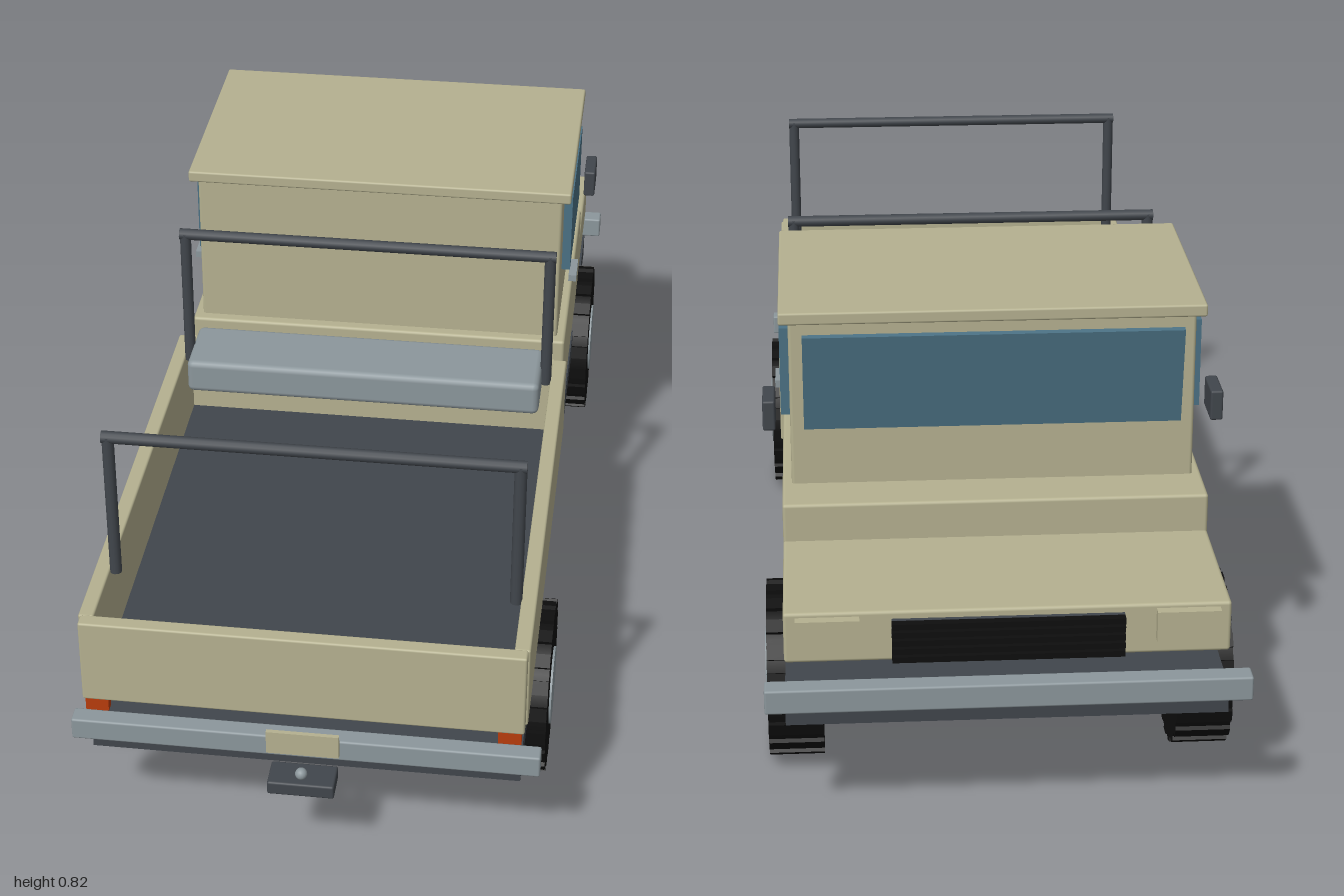
import * as THREE from 'three';
import { RoundedBoxGeometry } from 'three/addons/geometries/RoundedBoxGeometry.js';

const mat = (name, color) => {
  const m = new THREE.MeshStandardMaterial({ color });
  m.name = name;
  return m;
};

export function createModel() {
  const paint = mat('beige paint', 0xb5b190);
  const dark = mat('dark steel', 0x41464c);
  const steel = mat('light steel', 0x8c979c);
  const rubber = mat('black rubber', 0x0e0e0e);
  const glass = mat('blue glass', 0x4b7184);
  const lamp = mat('orange lamp', 0xb83c0c);

  const truck = new THREE.Group();
  truck.name = 'truck';

  const add = (name, geo, material, x = 0, y = 0, z = 0, parent = truck) => {
    const m = new THREE.Mesh(geo, material);
    m.name = name;
    m.position.set(x, y, z);
    parent.add(m);
    return m;
  };
  // Box given by its limits on each axis, with an optional softened edge
  const box = (name, material, [x0, x1], [y0, y1], [z0, z1], r = 0) => {
    const size = [x1 - x0, y1 - y0, z1 - z0];
    const geo = r ? new RoundedBoxGeometry(...size, 2, r) : new THREE.BoxGeometry(...size);
    return add(name, geo, material, (x0 + x1) / 2, (y0 + y1) / 2, (z0 + z1) / 2);
  };
  // The same box on both sides
  const pair = (name, material, [x0, x1], y, z, r) => {
    box(name + 'Left', material, [x0, x1], y, z, r);
    box(name + 'Right', material, [-x1, -x0], y, z, r);
  };

  // Chassis and bumpers
  box('chassis', dark, [-0.385, 0.385], [0.205, 0.255], [-0.955, 0.94]);
  box('frontBumper', steel, [-0.42, 0.42], [0.25, 0.295], [-1, -0.96], 0.004);
  box('rearBumper', steel, [-0.42, 0.42], [0.23, 0.273], [0.92, 0.955], 0.004);
  box('rearPlate', paint, [-0.065, 0.065], [0.246, 0.293], [0.96, 0.968]);
  box('hitch', dark, [-0.06, 0.06], [0.178, 0.205], [0.94, 1], 0.004);
  add('hitchBall', new THREE.SphereGeometry(0.011, 16, 12), steel, 0, 0.219, 0.985);

  // Cab
  box('cabLower', paint, [-0.385, 0.385], [0.3, 0.487], [-0.657, -0.09], 0.006);
  box('hood', paint, [-0.385, 0.385], [0.322, 0.416], [-0.95, -0.63], 0.006);
  box('cabUpper', paint, [-0.368, 0.368], [0.48, 0.802], [-0.56, -0.112], 0.006);
  box('roof', paint, [-0.385, 0.385], [0.8, 0.823], [-0.577, -0.1], 0.004);
  pair('sideWindow', glass, [0.366, 0.385], [0.602, 0.77], [-0.507, -0.188]);
  pair('doorHandle', steel, [0.382, 0.398], [0.564, 0.578], [-0.275, -0.207]);
  pair('mirror', dark, [0.394, 0.417], [0.603, 0.66], [-0.587, -0.506], 0.004);
  const windshield = box('windshield', glass, [-0.343, 0.343], [0.597, 0.785], [-0.583, -0.571]);
  windshield.rotation.x = -0.15;

  // Nose
  pair('headlight', paint, [0.255, 0.365], [0.352, 0.408], [-0.968, -0.945]);
  box('grillePanel', dark, [-0.2, 0.2], [0.327, 0.402], [-0.958, -0.945]);
  for (let i = 0; i < 5; i++) {
    const y = 0.334 + i * 0.0155;
    box('grilleBar', rubber, [-0.2, 0.2], [y - 0.0055, y + 0.0055], [-0.973, -0.95]);
  }

  // Cargo bed
  box('bedFloor', dark, [-0.372, 0.372], [0.318, 0.346], [0.01, 0.942]);
  pair('bedSide', paint, [0.367, 0.395], [0.338, 0.503], [0.004, 0.946], 0.004);
  box('bedFront', paint, [-0.37, 0.37], [0.338, 0.503], [0.004, 0.024]);
  box('tailgate', paint, [-0.391, 0.391], [0.336, 0.503], [0.942, 0.97], 0.004);
  pair('tailLamp', lamp, [0.345, 0.386], [0.312, 0.336], [0.95, 0.968]);
  box('toolBox', steel, [-0.35, 0.35], [0.468, 0.537], [0.018, 0.162], 0.012);

  // Hoops over the bed
  for (const z of [0.08, 0.8]) {
    const hoop = new THREE.Group();
    hoop.name = 'hoop';
    truck.add(hoop);
    for (const s of [-1, 1]) {
      add('hoopPost', new THREE.CylinderGeometry(0.011, 0.011, 0.29, 12), dark, s * 0.358, 0.64, z, hoop);
    }
    const bar = add('hoopBar', new THREE.CylinderGeometry(0.011, 0.011, 0.738, 12), dark, 0, 0.782, z, hoop);
    bar.rotation.z = Math.PI / 2;
  }

  // Wheels with tread blocks
  const tireGeo = new THREE.CylinderGeometry(0.154, 0.154, 0.1, 32).rotateZ(Math.PI / 2);
  const rimGeo = new THREE.CylinderGeometry(0.073, 0.073, 0.106, 24).rotateZ(Math.PI / 2);
  const lugGeo = new THREE.BoxGeometry(0.1, 0.014, 0.026);
  const lugs = 20;
  for (const z of [-0.65, 0.61]) {
    for (const s of [-1, 1]) {
      const wheel = new THREE.Group();
      wheel.name = (z < 0 ? 'cab' : 'bed') + 'Wheel' + (s > 0 ? 'Left' : 'Right');
      wheel.position.set(s * 0.369, 0.161, z);
      truck.add(wheel);
      add('tire', tireGeo, rubber, 0, 0, 0, wheel);
      add('rim', rimGeo, steel, s * 0.001, 0, 0, wheel);
      for (let i = 0; i < lugs; i++) {
        const a = (i / lugs) * Math.PI * 2;
        const lug = add('treadBlock', lugGeo, rubber, 0, Math.cos(a) * 0.154, Math.sin(a) * 0.154, wheel);
        lug.rotation.x = a;
      }
    }
  }
  return truck;
}
